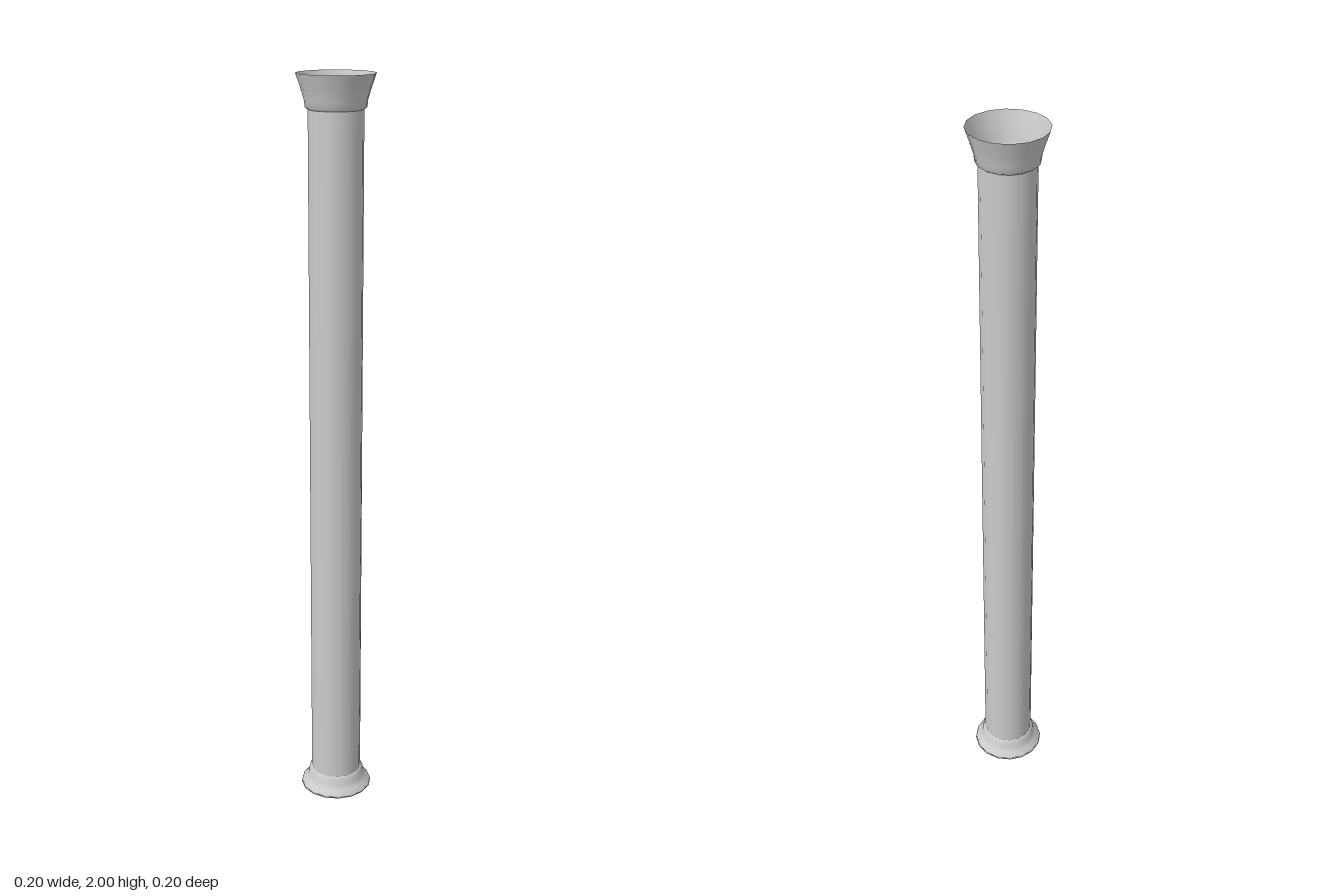
import * as THREE from 'three';

const SIDES = 16;

export function createModel() {
  const column = new THREE.Group();
  column.name = 'column';
  const material = new THREE.MeshStandardMaterial({ color: 0xcccccc, side: THREE.DoubleSide });

  // Turn a [radius, height] profile, listed from bottom to top, around the y axis
  const turn = (name, profile) => {
    const points = profile.map(([r, y]) => new THREE.Vector2(r, y));
    const mesh = new THREE.Mesh(new THREE.LatheGeometry(points, SIDES), material);
    mesh.name = name;
    column.add(mesh);
  };

  // Closed, flared foot with a short collar
  turn('base', [[0, 0], [0.1, 0], [0.098, 0.007], [0.086, 0.018], [0.079, 0.03], [0.077, 0.047], [0.07, 0.053]]);

  // Plain hollow shaft
  turn('shaft', [[0.07, 0.053], [0.07, 1.913]]);

  // Open, funnel-shaped capital above its collar
  turn('capital', [[0.07, 1.913], [0.077, 1.918], [0.079, 1.935], [0.088, 1.965], [0.1, 2]]);

  return column;
}
